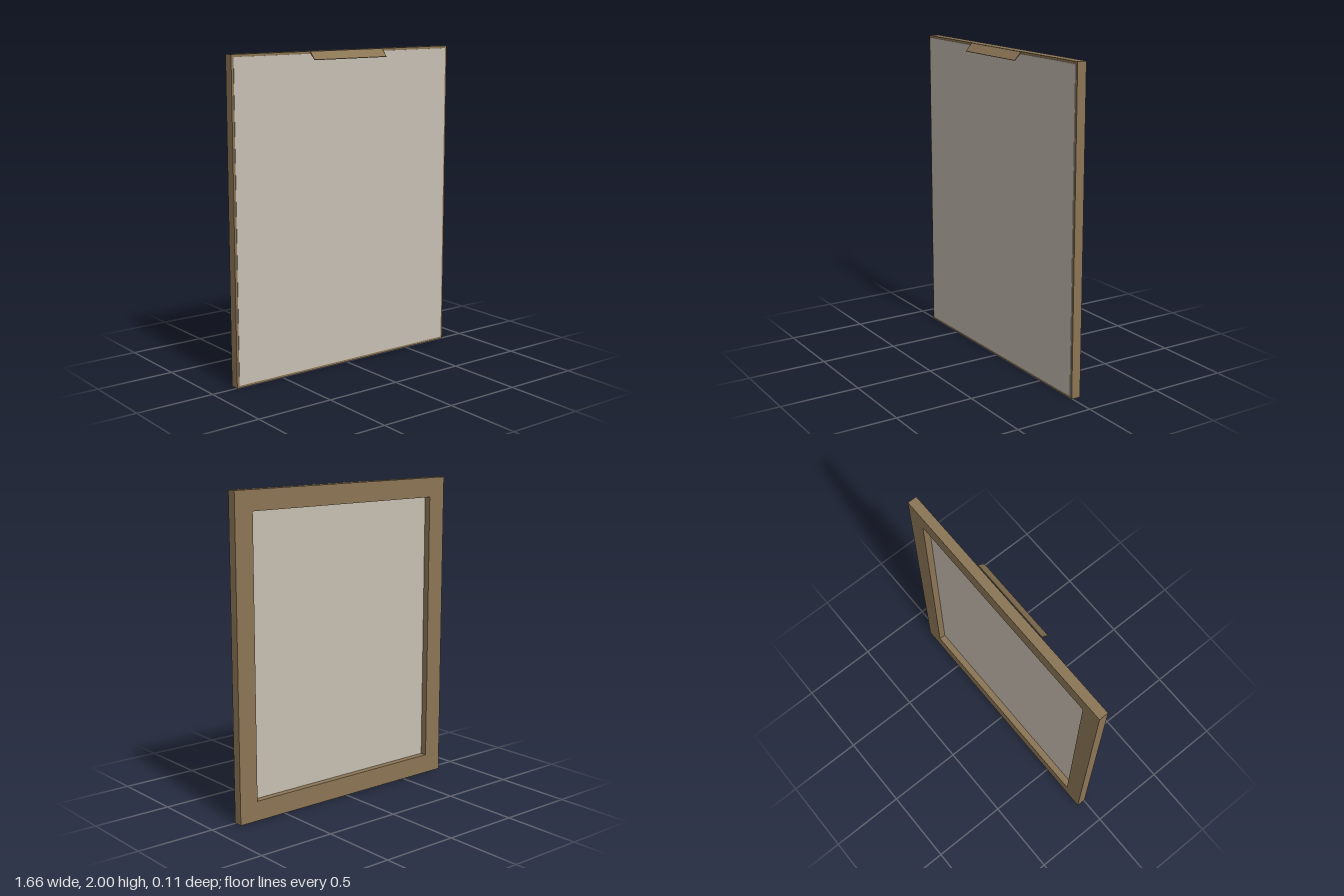
import * as THREE from 'three';

const W = 1.66, H = 2;          // outer size
const RAIL = 0.125;             // width of the frame rails
const BACK = -0.055, FRONT = 0.005;

function rectPoints(w, h) {
  return [[-w / 2, -h / 2], [w / 2, -h / 2], [w / 2, h / 2], [-w / 2, h / 2]]
    .map(([x, y]) => new THREE.Vector2(x, y));
}

export function createModel() {
  const group = new THREE.Group();
  const wood = new THREE.MeshStandardMaterial({ color: 0x8b7555 });
  wood.name = 'brown wood';
  const board = new THREE.MeshStandardMaterial({ color: 0xc8bfb3 });
  board.name = 'pale board';

  const add = (name, geometry, material, x, y, z) => {
    const mesh = new THREE.Mesh(geometry, material);
    mesh.name = name;
    mesh.position.set(x, y, z);
    group.add(mesh);
    return mesh;
  };

  // Rectangular frame, open in the middle
  const outline = new THREE.Shape(rectPoints(W, H));
  outline.holes.push(new THREE.Path(rectPoints(W - 2 * RAIL, H - 2 * RAIL).reverse()));
  const frame = new THREE.ExtrudeGeometry(outline, { depth: FRONT - BACK, bevelEnabled: false });
  add('frame', frame, wood, 0, H / 2, BACK);

  // Panel let into the front of the frame, just proud of it
  const panelBack = -0.012, panelFront = 0.008;
  add('panel', new THREE.BoxGeometry(W - 0.03, H - 0.03, panelFront - panelBack),
    board, 0, H / 2, (panelBack + panelFront) / 2);

  // Thin sloping lip at the top of the front
  const lip = new THREE.Shape([[0.008, 2], [0.012, 2], [0.055, 1.952], [0.052, 1.949], [0.008, 1.996]]
    .map(([z, y]) => new THREE.Vector2(-z, y)));
  const lipWidth = 0.555;
  const lipGeometry = new THREE.ExtrudeGeometry(lip, { depth: lipWidth, bevelEnabled: false });
  lipGeometry.rotateY(Math.PI / 2);
  add('topLip', lipGeometry, wood, -lipWidth / 2, 0, 0);

  return group;
}
